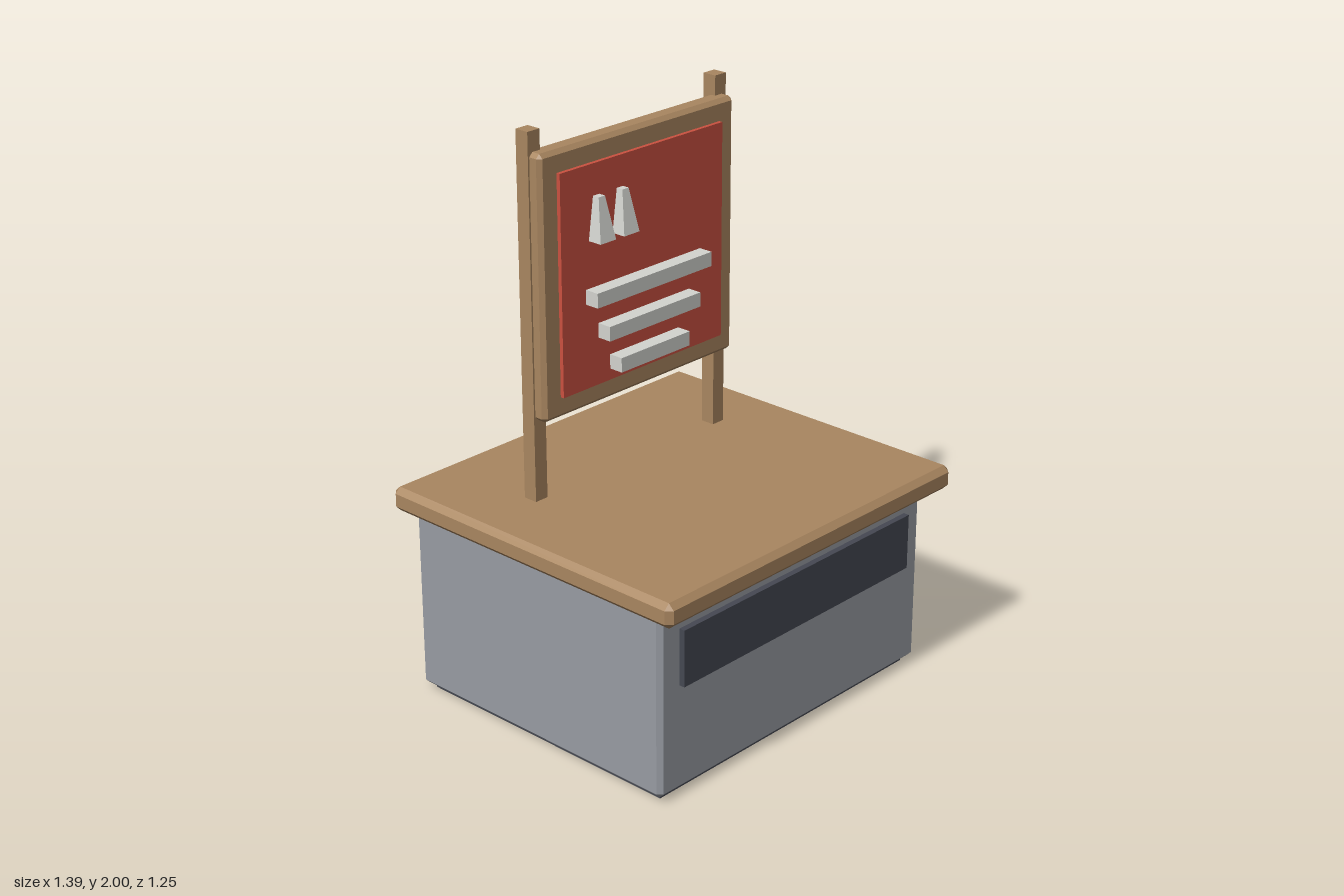
import * as THREE from 'three';
import { ConvexGeometry } from 'three/addons/geometries/ConvexGeometry.js';

const material = (name, color) => {
  const m = new THREE.MeshStandardMaterial({ color });
  m.name = name;
  return m;
};

// Box with every edge cut flat by c
function chamferBox(w, h, d, c) {
  const points = [];
  for (const sx of [-1, 1]) for (const sy of [-1, 1]) for (const sz of [-1, 1]) {
    for (const [a, b, e] of [[0, c, c], [c, 0, c], [c, c, 0]]) {
      points.push(new THREE.Vector3(sx * (w / 2 - a), sy * (h / 2 - b), sz * (d / 2 - e)));
    }
  }
  return new ConvexGeometry(points);
}

export function createModel() {
  const wood = material('wood', 0xa98660);
  const grey = material('grey cabinet', 0x989ca3);
  const dark = material('dark trim', 0x454852);
  const red = material('red panel', 0xcb5140);
  const white = material('off white', 0xd3d4cf);
  const model = new THREE.Group();
  model.name = 'counterWithSign';

  // Places a box by its extents, with optional chamfer
  function box(name, mat, [x0, x1], [y0, y1], [z0, z1], chamfer = 0, parent = model) {
    const w = x1 - x0, h = y1 - y0, d = z1 - z0;
    const geo = chamfer ? chamferBox(w, h, d, chamfer) : new THREE.BoxGeometry(w, h, d);
    const mesh = new THREE.Mesh(geo, mat);
    mesh.name = name;
    mesh.position.set((x0 + x1) / 2, (y0 + y1) / 2, (z0 + z1) / 2);
    parent.add(mesh);
    return mesh;
  }

  // Counter
  box('plinth', dark, [-0.61, 0.61], [0, 0.06], [-0.535, 0.505]);
  box('cabinet', grey, [-0.643, 0.643], [0.02, 0.67], [-0.568, 0.537], 0.016);
  box('frontPanel', dark, [-0.555, 0.555], [0.397, 0.595], [0.52, 0.558]);
  box('countertop', wood, [-0.695, 0.695], [0.667, 0.753], [-0.622, 0.625], 0.02);

  // Sign: two posts carrying a board
  const sign = new THREE.Group();
  sign.name = 'sign';
  model.add(sign);
  for (const side of [-1, 1]) {
    const post = box('post', wood, [-0.026, 0.026], [0.74, 2], [-0.241, -0.189], 0, sign);
    post.position.x = side * 0.428;
    post.name = side > 0 ? 'leftPost' : 'rightPost';
  }
  box('board', wood, [-0.448, 0.448], [1.037, 1.932], [-0.219, -0.146], 0.014, sign);
  box('redPanel', red, [-0.375, 0.375], [1.11, 1.86], [-0.16, -0.132], 0, sign);

  // Raised bars, shorter towards the bottom
  [[0.268, 1.425], [0.214, 1.297], [0.162, 1.174]].forEach(([half, y], i) => {
    box(`bar${i + 1}`, white, [-half, half], [y - 0.025, y + 0.025], [-0.135, -0.08], 0, sign);
  });

  // Two tapered four-sided pegs
  for (const x of [-0.217, -0.11]) {
    const geo = new THREE.CylinderGeometry(0.4 * Math.SQRT1_2, Math.SQRT1_2, 0.145, 4, 1)
      .toNonIndexed();
    geo.rotateY(Math.PI / 4);
    geo.scale(0.07, 1, 0.09);
    geo.computeVertexNormals();
    const peg = new THREE.Mesh(geo, white);
    peg.name = 'peg';
    peg.position.set(x, 1.682, -0.125);
    sign.add(peg);
  }

  return model;
}
